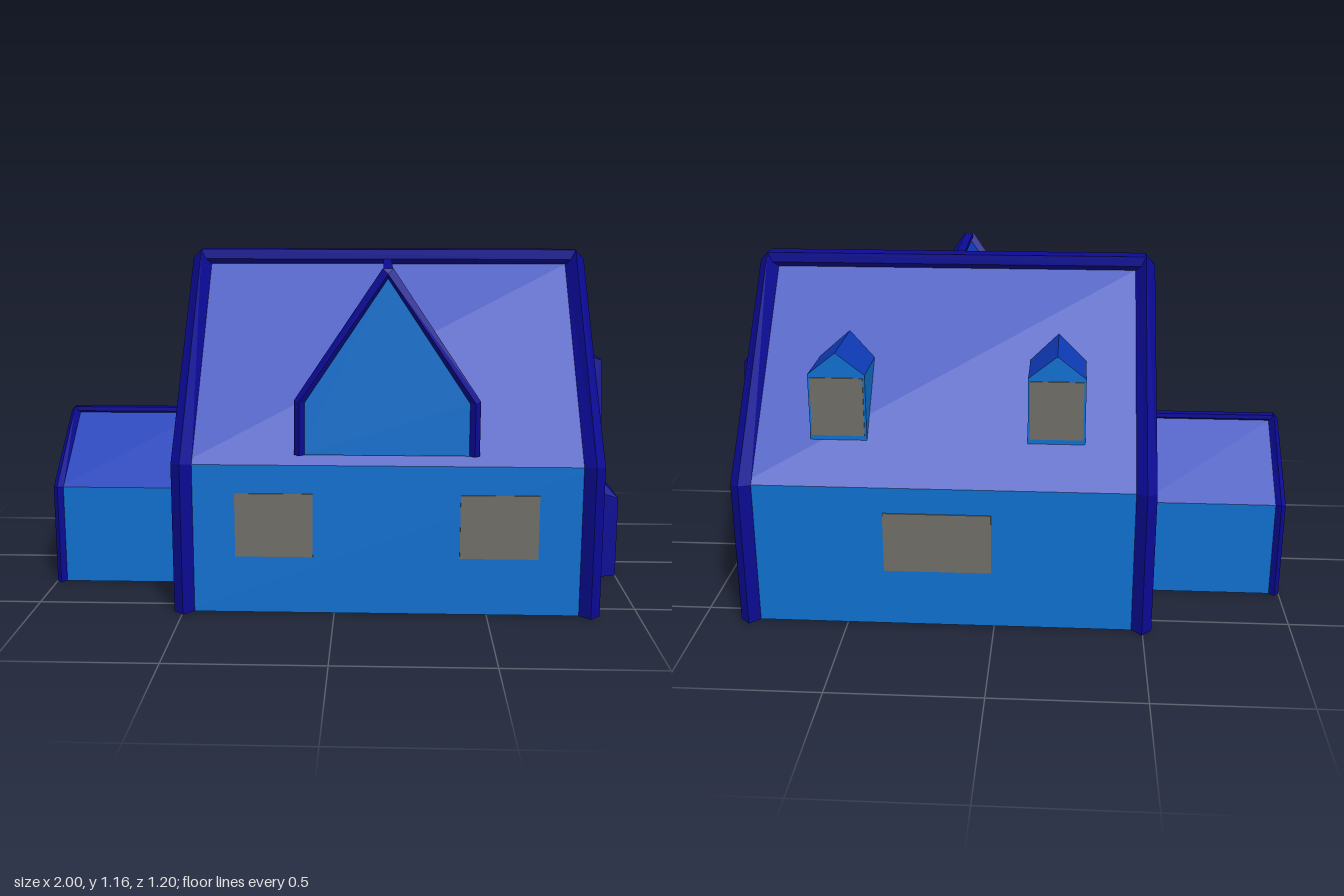
import * as THREE from 'three';

const mat = (name, color) => {
  const m = new THREE.MeshStandardMaterial({ color, side: THREE.DoubleSide });
  m.name = name;
  return m;
};

// Flat-faced mesh from a list of convex polygons
function polyMesh(name, material, polys) {
  const pos = [];
  for (const p of polys) {
    for (let i = 1; i < p.length - 1; i++) pos.push(...p[0], ...p[i], ...p[i + 1]);
  }
  const g = new THREE.BufferGeometry();
  g.setAttribute('position', new THREE.Float32BufferAttribute(pos, 3));
  g.computeVertexNormals();
  const mesh = new THREE.Mesh(g, material);
  mesh.name = name;
  return mesh;
}

// Skin between matching rings of points, with both ends capped
function loft(name, material, rings) {
  const polys = [[...rings[0]].reverse(), rings[rings.length - 1]];
  for (let i = 0; i < rings.length - 1; i++) {
    const a = rings[i], b = rings[i + 1], n = a.length;
    for (let j = 0; j < n; j++) {
      const k = (j + 1) % n;
      polys.push([a[j], a[k], b[k], b[j]]);
    }
  }
  return polyMesh(name, material, polys);
}

export function createModel() {
  const wall = mat('wall blue', 0x0e70d0);
  const roof = mat('roof blue', 0x0e3ab6);
  const trim = mat('trim navy', 0x0a0a94);
  const glass = mat('window grey', 0x706e68);
  const model = new THREE.Group();

  // Gabled body facing local +z; front and back give depths at base, eave and peak
  function gabled(name, { half, base, eave, peak, front, back, closed }) {
    const g = new THREE.Group();
    g.name = name;
    const section = (d) => [
      [-half, base, d[0]], [half, base, d[0]], [half, eave, d[1]], [0, peak, d[2]], [-half, eave, d[1]],
    ];
    const f = section(front), b = section(back);
    const strip = (i, j) => [f[i], b[i], b[j], f[j]];
    const walls = [f, strip(1, 2), strip(4, 0)];
    if (closed) walls.push([...b].reverse());
    g.add(polyMesh(name + 'Walls', wall, walls));
    g.add(polyMesh(name + 'Roof', roof, [strip(2, 3), strip(3, 4)]));
    model.add(g);
    return g;
  }

  // Diamond-section trim that follows the outline of a gable
  function gableTrim(name, { half, base, eave, peak }, d, r) {
    const lines = [
      [[half + r, base], [half + r, eave + 0.25 * r], [r, peak + r]],
      [[half, base], [half, eave], [0, peak]],
      [[half - r, base], [half - r, eave - 0.2 * r], [0, peak - 0.9 * r]],
    ];
    const ring = (i, s) => {
      const at = (k, dz) => [s * lines[k][i][0], lines[k][i][1], d[i] + dz];
      return [at(0, 0), at(1, r), at(2, 0), at(1, -r)];
    };
    return loft(name, trim, [ring(0, 1), ring(1, 1), ring(2, 1), ring(2, -1), ring(1, -1), ring(0, -1)]);
  }

  // Flat-topped ridge cap with a wedge underside
  function ridge(name, peak, z0, z1, r) {
    const ring = (z) => [
      [-r, peak + r, z], [-r, peak, z], [0, peak - r, z], [r, peak, z], [r, peak + r, z],
    ];
    return loft(name, trim, [ring(z0), ring(z1)]);
  }

  // Thin pane facing local +z, set in the given parent
  function pane(name, parent, x0, x1, y0, y1, z) {
    const m = new THREE.Mesh(new THREE.BoxGeometry(x1 - x0, y1 - y0, 0.006), glass);
    m.position.set((x0 + x1) / 2, (y0 + y1) / 2, z);
    m.name = name;
    parent.add(m);
  }

  // Main house, ridge running along x
  const mainShape = {
    half: 0.568, base: 0, eave: 0.5, peak: 1.13,
    front: [0.67, 0.67, 0.67], back: [-0.67, -0.67, -0.67], closed: true,
  };
  const house = gabled('house', mainShape);
  house.position.x = 0.17;
  house.rotation.y = Math.PI / 2;
  for (const s of [-1, 1]) {
    const w = s * 0.667;
    house.add(gableTrim('gableTrim', mainShape, [w, w, w], 0.034));
  }
  house.add(ridge('ridgeCap', 1.13, -0.667, 0.667, 0.034));

  // Side annex with its door
  const annexShape = {
    half: 0.283, base: 0, eave: 0.345, peak: 0.567,
    front: [0.983, 0.983, 0.983], back: [0.5, 0.5, 0.5],
  };
  const annex = gabled('annex', annexShape);
  annex.rotation.y = -Math.PI / 2;
  annex.add(gableTrim('annexTrim', annexShape, [0.983, 0.983, 0.983], 0.017));
  annex.add(ridge('annexRidgeCap', 0.567, 0.5, 0.983, 0.015));
  pane('door', annex, -0.14, 0.14, 0, 0.35, 0.984);

  // Large front dormer
  const dormerShape = {
    half: 0.283, base: 0.53, eave: 0.705, peak: 1.115,
    front: [0.547, 0.545, 0.538], back: [0.535, 0.38, 0.015],
  };
  const dormer = gabled('frontDormer', dormerShape);
  dormer.position.x = 0.17;
  dormer.add(gableTrim('dormerTrim', dormerShape, dormerShape.front, 0.017));
  dormer.add(ridge('dormerRidgeCap', 1.115, 0.02, 0.538, 0.015));

  // Two small rear dormers
  for (const x of [-0.2, 0.525]) {
    const d = gabled('rearDormer', {
      half: 0.095, base: 0.62, eave: 0.85, peak: 0.925,
      front: [0.457, 0.457, 0.457], back: [0.45, 0.25, 0.184],
    });
    d.position.x = x;
    d.rotation.y = Math.PI;
    pane('dormerWindow', d, -0.088, 0.088, 0.64, 0.84, 0.458);
  }

  // Front and rear wall windows
  pane('frontWindow', model, -0.325, -0.07, 0.192, 0.405, 0.569);
  pane('frontWindow', model, 0.41, 0.665, 0.192, 0.405, 0.569);
  pane('rearWindow', model, 0.01, 0.37, 0.2, 0.41, -0.569);

  // Chimney levels: half width and height at the wall, then at the outer face, and its x
  const levels = [
    [0.193, 0, 0.16, 0, 1.0],
    [0.193, 0.345, 0.16, 0.29, 1.0],
    [0.137, 0.385, 0.122, 0.345, 0.945],
    [0.117, 0.815, 0.105, 0.78, 0.93],
  ];
  model.add(loft('chimney', trim, levels.map(([wh, wy, oh, oy, ox]) => [
    [0.838, wy, wh], [ox, oy, oh], [ox, oy, -oh], [0.838, wy, -wh],
  ])));

  return model;
}
